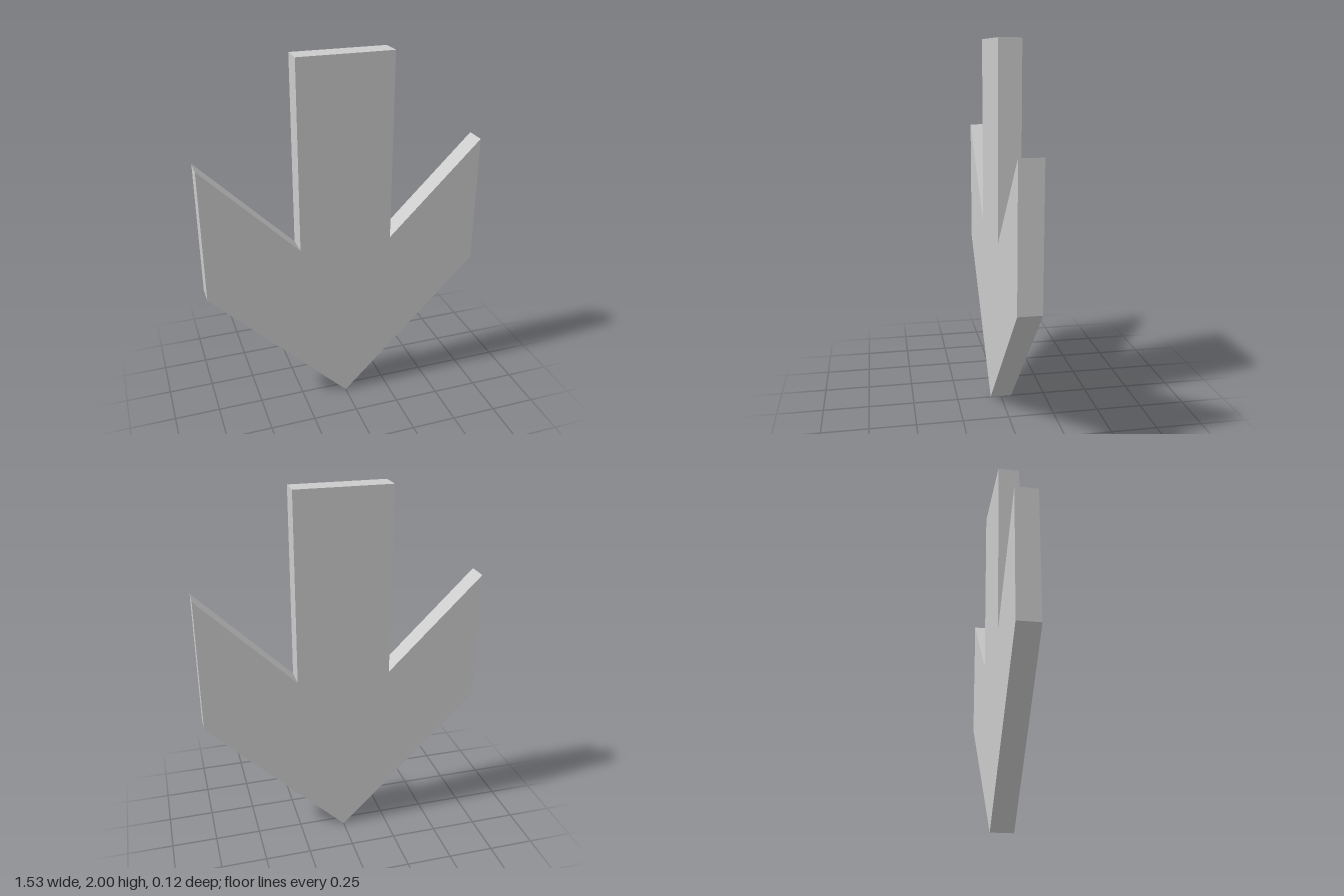
import * as THREE from 'three';

const DEPTH = 0.12;

export function createModel() {
  const group = new THREE.Group();
  group.name = 'downArrow';

  // Right half of the outline, from the tip up to the top of the shaft
  const half = [[0.765, 0.77], [0.765, 1.49], [0.255, 0.98], [0.255, 2]];
  const mirrored = half.map(([x, y]) => [-x, y]).reverse();
  const outline = [[0, 0], ...half, ...mirrored].map(([x, y]) => new THREE.Vector2(x, y));

  // Flat slab, centred on z = 0
  const geometry = new THREE.ExtrudeGeometry(new THREE.Shape(outline), {
    depth: DEPTH,
    bevelEnabled: false,
  });
  geometry.translate(0, 0, -DEPTH / 2);

  const arrow = new THREE.Mesh(
    geometry,
    new THREE.MeshStandardMaterial({ color: 0xcccccc, flatShading: true })
  );
  arrow.name = 'arrow';
  group.add(arrow);
  return group;
}
